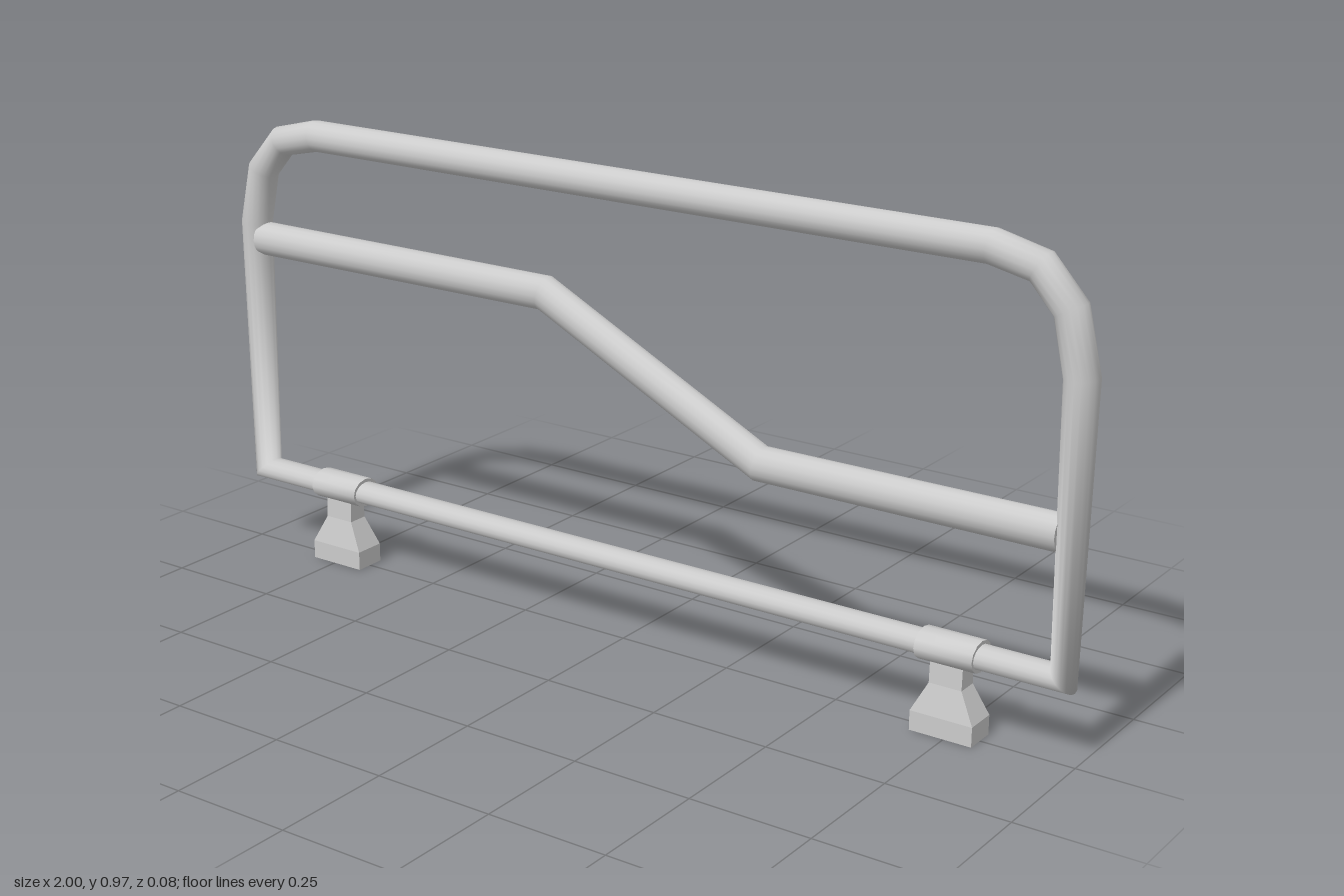
import * as THREE from 'three';

const material = new THREE.MeshStandardMaterial({ color: 0xcccccc });
const flatMaterial = new THREE.MeshStandardMaterial({ color: 0xcccccc, flatShading: true });

// Skin over rings of points; each ring runs counter-clockwise around the travel direction.
function loft(rings, closed) {
  const n = rings[0].length;
  const positions = rings.flat().flatMap((p) => [p.x, p.y, p.z]);
  const index = [];
  const count = closed ? rings.length : rings.length - 1;
  for (let i = 0; i < count; i++) {
    const a = i * n;
    const b = ((i + 1) % rings.length) * n;
    for (let j = 0; j < n; j++) {
      const k = (j + 1) % n;
      index.push(a + j, a + k, b + j, a + k, b + k, b + j);
    }
  }
  if (!closed) {
    // separate vertices keep the end caps sharp
    [rings[0], rings[rings.length - 1]].forEach((ring, end) => {
      const base = positions.length / 3;
      ring.forEach((p) => positions.push(p.x, p.y, p.z));
      for (let j = 1; j < n - 1; j++) {
        index.push(base, base + (end ? j : j + 1), base + (end ? j + 1 : j));
      }
    });
  }
  const geometry = new THREE.BufferGeometry();
  geometry.setAttribute('position', new THREE.Float32BufferAttribute(positions, 3));
  geometry.setIndex(index);
  geometry.computeVertexNormals();
  return geometry;
}

// Pipe along a flat path, with one ring set on the bisector of every bend.
function pipe(path, radius, depth, closed, sides = 16) {
  const pts = path.map(([x, y]) => new THREE.Vector2(x, y));
  const n = pts.length;
  const rings = pts.map((p, i) => {
    const prev = pts[closed ? (i + n - 1) % n : Math.max(i - 1, 0)];
    const next = pts[closed ? (i + 1) % n : Math.min(i + 1, n - 1)];
    const t = p.clone().sub(prev).normalize().add(next.clone().sub(p).normalize()).normalize();
    return Array.from({ length: sides }, (_, j) => {
      const a = (j / sides) * Math.PI * 2;
      const r = radius * Math.cos(a);
      return new THREE.Vector3(p.x - t.y * r, p.y + t.x * r, depth * Math.sin(a));
    });
  });
  return loft(rings, closed);
}

export function createModel() {
  const model = new THREE.Group();
  model.name = 'guardRail';
  const add = (parent, name, geometry, mat = material) => {
    const mesh = new THREE.Mesh(geometry, mat);
    mesh.name = name;
    parent.add(mesh);
    return mesh;
  };

  // Outer hoop: posts, rounded upper corners, top and bottom bars
  const half = [[-0.967, 0.168], [-0.967, 0.73], [-0.94, 0.848], [-0.88, 0.915], [-0.785, 0.937]];
  const mirrored = half.map(([x, y]) => [-x, y]).reverse();
  add(model, 'outerFrame', pipe([...half, ...mirrored], 0.033, 0.033, true));

  // Stepped middle rail
  const railPath = [[-0.948, 0.695], [-0.19, 0.695], [0.32, 0.442], [0.948, 0.442]];
  add(model, 'middleRail', pipe(railPath, 0.036, 0.034, false));

  // Clamped feet: [height, half width, half depth]
  const levels = [[0, 0.065, 0.034], [0.04, 0.065, 0.034], [0.1, 0.034, 0.022], [0.155, 0.034, 0.02]];
  const corners = [[1, 1], [1, -1], [-1, -1], [-1, 1]];
  const footRings = levels.map(([y, w, d]) =>
    corners.map(([sx, sz]) => new THREE.Vector3(sx * w, y, sz * d)));
  for (const [side, x] of [['right', -0.743], ['left', 0.743]]) {
    const support = new THREE.Group();
    support.name = side + 'Support';
    support.position.x = x;
    add(support, 'foot', loft(footRings, false), flatMaterial);
    add(support, 'clamp', pipe([[-0.06, 0.168], [0.06, 0.168]], 0.031, 0.039, false, 12));
    model.add(support);
  }
  return model;
}
